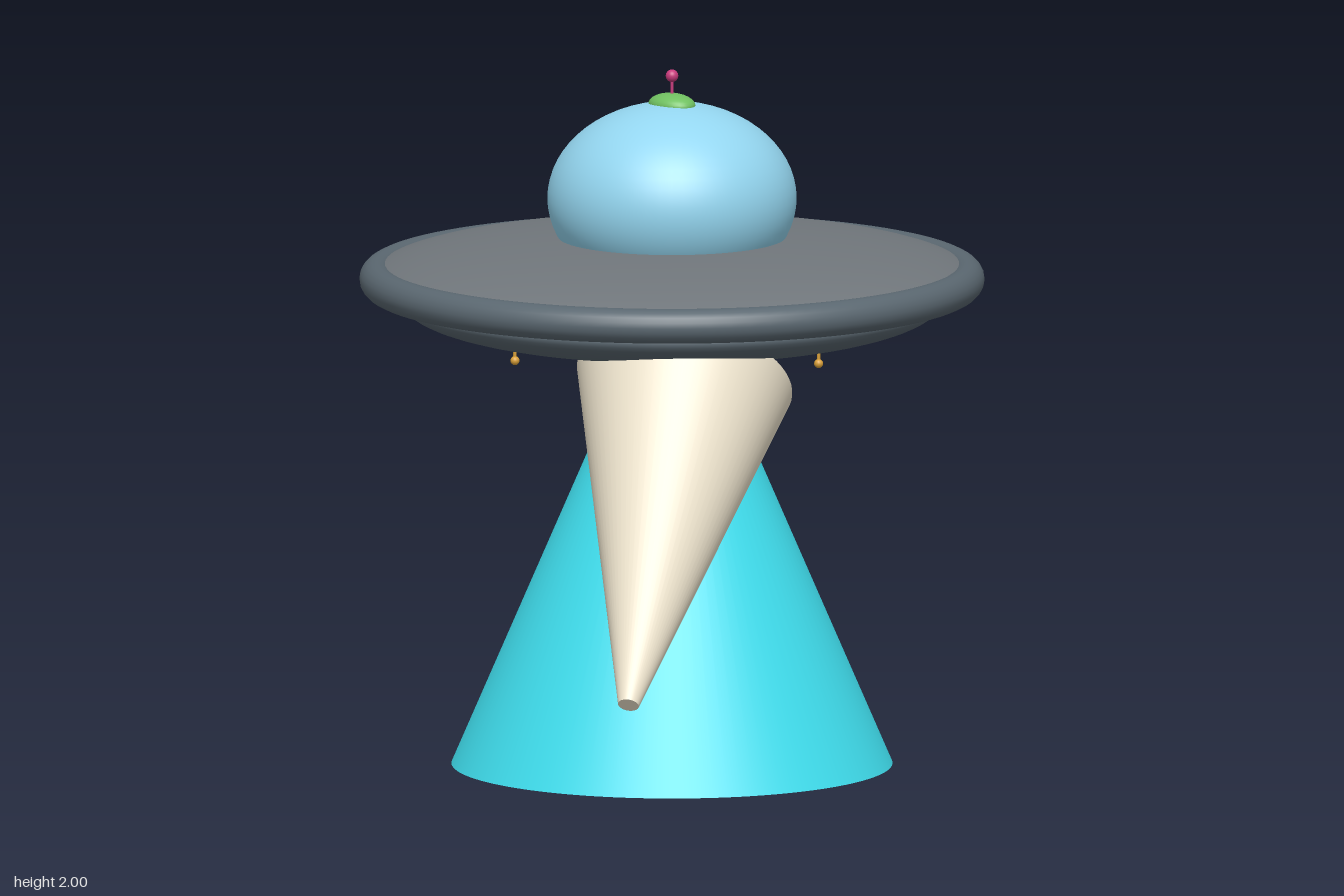
import * as THREE from 'three';

const mat = (color) => new THREE.MeshStandardMaterial({ color });

export function createModel() {
  const model = new THREE.Group();
  const craft = new THREE.Group();
  craft.name = 'craft';
  craft.position.z = -0.012;
  model.add(craft);

  const add = (parent, name, geometry, material, x = 0, y = 0, z = 0) => {
    const mesh = new THREE.Mesh(geometry, material);
    mesh.name = name;
    mesh.position.set(x, y, z);
    parent.add(mesh);
    return mesh;
  };
  // Sphere stretched to three half-sizes
  const ellipsoid = (rx, ry, rz, w = 64, h = 32) =>
    new THREE.SphereGeometry(1, w, h).scale(rx, ry, rz);
  const ring = (r, tube) => new THREE.TorusGeometry(r, tube, 20, 96).rotateX(Math.PI / 2);

  const plate = mat(0x70767b);
  const rim = mat(0x5a6770);
  const cyan = mat(0x40e0f0);
  const glass = mat(0x94d6f0);
  const green = mat(0x70c060);
  const pink = mat(0xc83a7c);
  const gold = mat(0xd9a038);
  const ivory = mat(0xf3e9d2);

  // Saucer: upper shell, rim and shallower belly
  add(craft, 'upperShell', ellipsoid(0.87, 0.13, 0.87, 96), plate, 0, 1.397);
  add(craft, 'rim', ring(0.84, 0.05), rim, 0, 1.397);
  add(craft, 'belly', ellipsoid(0.768, 0.13, 0.768, 96), rim, 0, 1.332);

  // Dome with cap and antenna
  add(craft, 'dome', ellipsoid(0.355, 0.275, 0.355), glass, 0, 1.63);
  add(craft, 'cap', ellipsoid(0.077, 0.033, 0.056, 32, 16), green, 0, 1.899);
  add(craft, 'antennaStalk', new THREE.CylinderGeometry(0.005, 0.005, 0.08, 12), pink, 0, 1.945);
  add(craft, 'antennaBall', new THREE.SphereGeometry(0.018, 24, 16), pink, 0, 1.982);

  // Beam and the ring it leaves from
  add(craft, 'emitterRing', ring(0.213, 0.015), cyan, 0, 1.195);
  const beamHeight = 1.21;
  add(craft, 'beam', new THREE.CylinderGeometry(0.105, 0.628, beamHeight, 96), cyan, 0, beamHeight / 2);

  // Three small lamps under the belly
  for (let i = 0; i < 3; i++) {
    const a = THREE.MathUtils.degToRad(108 + i * 120);
    const lamp = new THREE.Group();
    lamp.name = 'lamp';
    lamp.position.set(0.5 * Math.cos(a), 1.197, 0.5 * Math.sin(a));
    add(lamp, 'lampStem', new THREE.CylinderGeometry(0.005, 0.005, 0.05, 8), gold, 0, 0.025);
    add(lamp, 'lampBulb', new THREE.SphereGeometry(0.013, 16, 12), gold);
    craft.add(lamp);
  }

  // Tilted horn, wide end sunk into the belly
  const tip = new THREE.Vector3(0.727, 0.354, 0.879);
  const base = new THREE.Vector3(0.329, 1.176, 0.262);
  const axis = base.clone().sub(tip);
  const horn = add(model, 'horn', new THREE.CylinderGeometry(0.31, 0.03, axis.length(), 64), ivory);
  horn.position.addVectors(tip, base).multiplyScalar(0.5);
  horn.quaternion.setFromUnitVectors(new THREE.Vector3(0, 1, 0), axis.normalize());

  return model;
}
